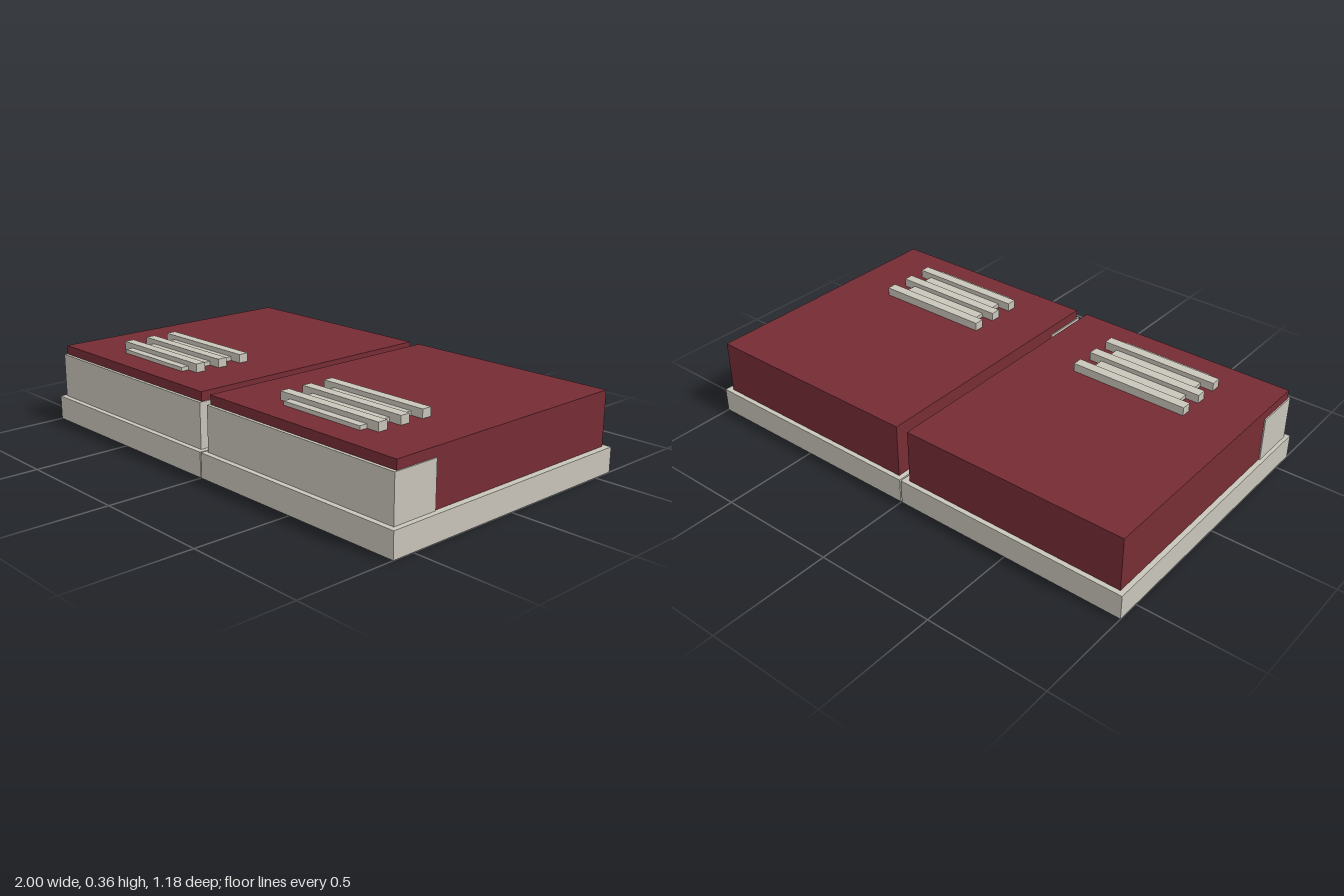
import * as THREE from 'three';

const red = new THREE.MeshStandardMaterial({ color: 0x762c34 });
red.name = 'dark red';
const stone = new THREE.MeshStandardMaterial({ color: 0xc9c5bb });
stone.name = 'stone grey';

// Box given by its lower and upper limits on each axis
function box(name, material, [x0, x1], [y0, y1], [z0, z1]) {
  const mesh = new THREE.Mesh(new THREE.BoxGeometry(x1 - x0, y1 - y0, z1 - z0), material);
  mesh.position.set((x0 + x1) / 2, (y0 + y1) / 2, (z0 + z1) / 2);
  mesh.name = name;
  return mesh;
}

// One block: plinth, body, front cladding and rooftop grille
function createBlock(name) {
  const block = new THREE.Group();
  block.name = name;
  block.add(
    box('plinth', stone, [-0.4985, 0.4985], [0, 0.102], [-0.592, 0.592]),
    box('body', red, [-0.478, 0.472], [0.102, 0.325], [-0.572, 0.557]),
    box('frontCladding', stone, [-0.483, 0.477], [0.102, 0.287], [0.373, 0.57])
  );

  const grille = new THREE.Group();
  grille.name = 'roofGrille';
  grille.add(box('grilleBed', stone, [-0.198, 0.192], [0.325, 0.341], [0.155, 0.443]));
  for (const z of [0.173, 0.281, 0.389]) {
    grille.add(box('grilleBar', stone, [-0.253, 0.247], [0.325, 0.36], [z - 0.021, z + 0.021]));
  }
  block.add(grille);
  return block;
}

export function createModel() {
  const model = new THREE.Group();
  model.name = 'twinBlocks';
  // Two identical blocks side by side with a hairline gap
  for (const [name, x] of [['rightBlock', -0.5015], ['leftBlock', 0.5015]]) {
    const block = createBlock(name);
    block.position.x = x;
    model.add(block);
  }
  return model;
}
